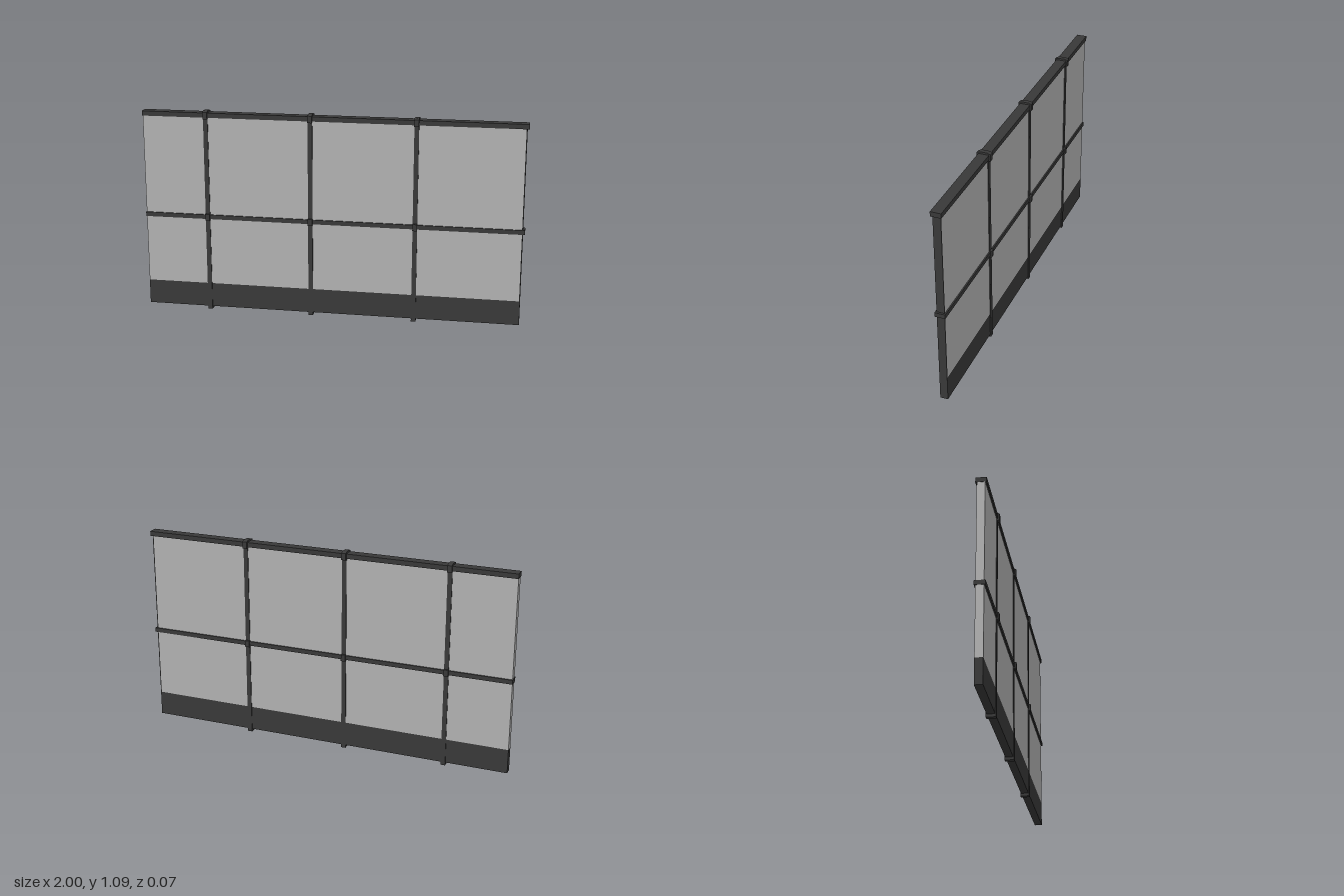
import * as THREE from 'three';

export function createModel() {
  const root = new THREE.Group();
  const dark = new THREE.MeshStandardMaterial({ color: 0x383838 });
  dark.name = 'dark metal';
  const grey = new THREE.MeshStandardMaterial({ color: 0xb0b0b0 });
  grey.name = 'grey glass';

  // Box given by its x and y limits and its half depth
  const box = (name, mat, x0, x1, y0, y1, halfZ, parent = root) => {
    const mesh = new THREE.Mesh(new THREE.BoxGeometry(x1 - x0, y1 - y0, halfZ * 2), mat);
    mesh.position.set((x0 + x1) / 2, (y0 + y1) / 2, 0);
    mesh.name = name;
    parent.add(mesh);
    return mesh;
  };

  // Slab: glazing above a solid kick plate, with a dark strip closing one end
  box('glassPanel', grey, -0.998, 0.985, 0.145, 1.055, 0.02);
  box('kickPlate', dark, -0.998, 0.99, 0.015, 0.145, 0.02);
  box('endStrip', dark, 0.985, 0.99, 0.145, 1.055, 0.02);

  // Horizontal rails
  box('middleRail', dark, -1, 1, 0.505, 0.528, 0.027);
  box('topRail', dark, -1, 1, 1.05, 1.075, 0.027);

  // Collar cap with a slightly arched top
  const w = 0.024;
  const capShape = new THREE.Shape([
    [-0.035, 1.043], [0.035, 1.043], [0.035, 1.079], [0.018, 1.085], [-0.018, 1.085], [-0.035, 1.079],
  ].map(([z, y]) => new THREE.Vector2(z, y)));
  const capGeometry = new THREE.ExtrudeGeometry(capShape, { depth: w, bevelEnabled: false });
  capGeometry.translate(0, 0, -w / 2).rotateY(Math.PI / 2);

  // Mullions, each with collars wrapping both rails
  for (const x of [-0.66, -0.108, 0.44]) {
    const mullion = new THREE.Group();
    mullion.name = 'mullion';
    mullion.position.x = x;
    box('post', dark, -w / 2, w / 2, 0, 1.06, 0.024, mullion);
    box('middleCollar', dark, -w / 2, w / 2, 0.498, 0.533, 0.035, mullion);
    const cap = new THREE.Mesh(capGeometry, dark);
    cap.name = 'topCollar';
    mullion.add(cap);
    root.add(mullion);
  }
  return root;
}
